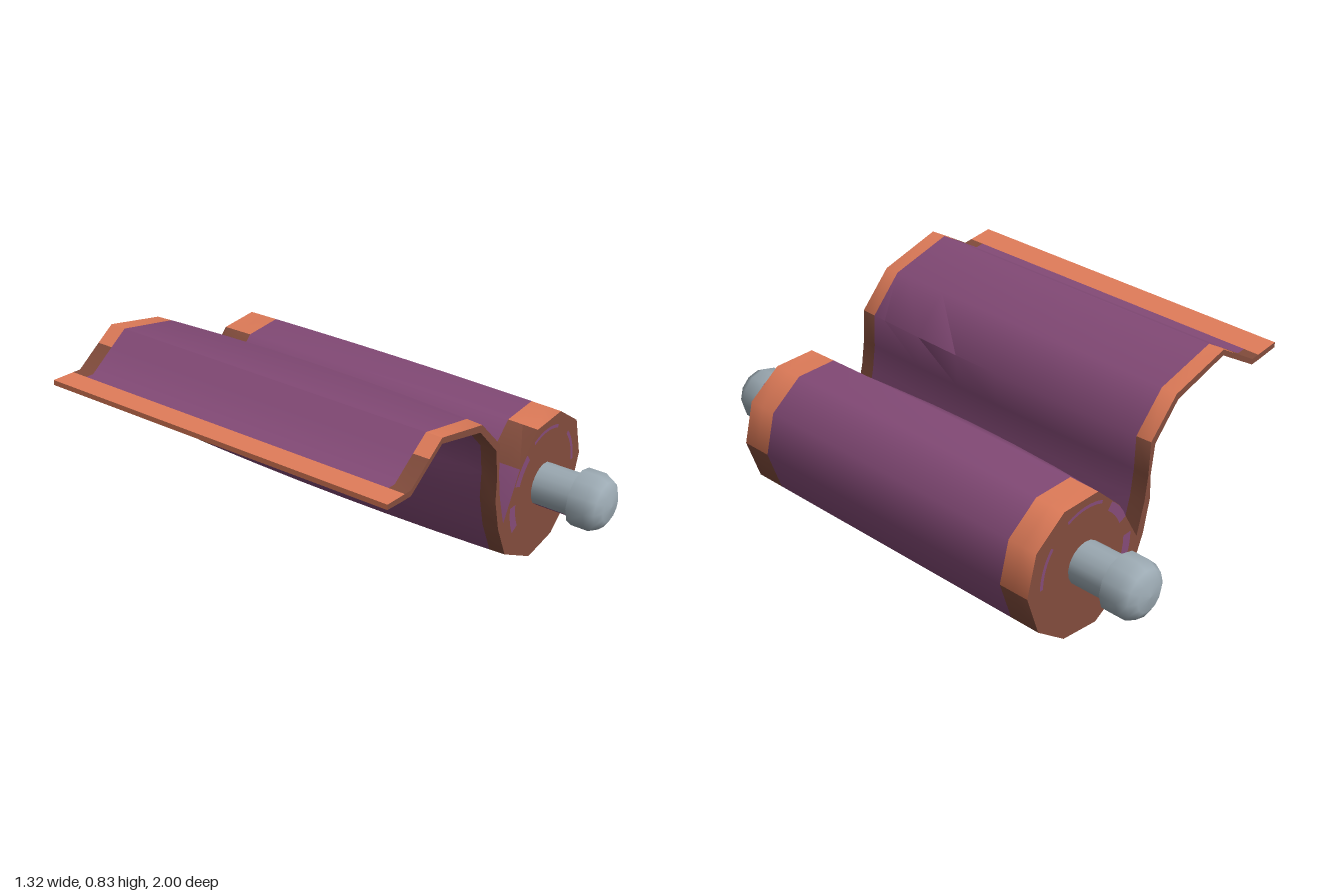
import * as THREE from 'three';
import { toCreasedNormals } from 'three/addons/utils/BufferGeometryUtils.js';

const mat = (name, color) => new THREE.MeshStandardMaterial({ name, color });
const HALF = 0.713; // half length of the roll along z
const AXIS = [0.372, 0.308]; // rod centre in x, y

// Closed cross-section, clockwise: x, y at the ends, then optional x, y at mid length
const PROFILE = [
  [-0.66, 0.74], [-0.56, 0.729], [-0.525, 0.725], [-0.42, 0.79], [-0.345, 0.835],
  [-0.09, 0.765, -0.075, 0.777], [0.038, 0.63, 0.055, 0.63], [0.045, 0.5, 0.052, 0.5],
  [0.06, 0.4, 0.066, 0.4], [0.095, 0.275, 0.09, 0.285],
  [0.195, 0.452, 0.17, 0.47], [0.31, 0.562, 0.31, 0.57], [0.48, 0.562, 0.48, 0.57],
  [0.613, 0.465], [0.655, 0.305], [0.6, 0.14], [0.47, 0.04, 0.47, 0.03],
  [0.305, 0.022, 0.305, 0.003], [0.12, 0.13, 0.115, 0.117],
  [0.06, 0.27, 0.05, 0.265], [0.03, 0.4, 0.017, 0.392], [0.032, 0.5, 0.025, 0.5],
  [0.015, 0.615], [-0.1, 0.74], [-0.345, 0.812], [-0.525, 0.703], [-0.58, 0.709], [-0.66, 0.72],
];
// Trim of each profile segment: p none, o orange, b brown, capitals run the full length
const TRIM = 'O' + 'bb' + 'ooo' + 'bbb' + 'p' + 'b' + 'ooo' + 'bbbb' + 'bbbbbbbb' + 'B' + 'O';
const STATIONS = [-HALF, -0.65, -0.59, -0.4, -0.2, 0, 0.2, 0.4, 0.59, 0.65, HALF];

// Sheet and roll skin lofted along z, bowing slightly toward mid length
function clothGeometry() {
  const positions = [];
  for (const z of STATIONS) {
    const bow = 1 - (z / HALF) ** 2;
    for (const [x, y, mx = x, my = y] of PROFILE) {
      positions.push(x + (mx - x) * bow, y + (my - y) * bow, z);
    }
  }
  const n = PROFILE.length;
  const faces = [[], [], []]; // purple, orange, brown
  for (let i = 0; i < n; i++) {
    const code = TRIM[i];
    const isRoll = i >= 10 && i < 18;
    const border = isRoll ? 0.59 : 0.65;
    for (let k = 0; k < STATIONS.length - 1; k++) {
      const middle = Math.abs(STATIONS[k] + STATIONS[k + 1]) / 2;
      const full = code !== code.toLowerCase();
      const trimmed = full || middle > border;
      const slot = trimmed ? 'pob'.indexOf(code.toLowerCase()) : 0;
      const j = (i + 1) % n;
      const a = k * n + i, b = a + n, c = k * n + j, d = c + n;
      faces[slot].push(a, b, c, b, d, c);
    }
  }
  const geometry = new THREE.BufferGeometry();
  geometry.setAttribute('position', new THREE.Float32BufferAttribute(positions, 3));
  geometry.setIndex(faces.flat());
  let start = 0;
  faces.forEach((list, slot) => {
    geometry.addGroup(start, list.length, slot);
    start += list.length;
  });
  return toCreasedNormals(geometry, 0.75);
}

export function createModel() {
  const purple = mat('purple cloth', 0x854b78);
  const orange = mat('orange trim', 0xe27d5a);
  const brown = mat('brown trim', 0x824c3c);
  const metal = mat('grey metal', 0x9caab3);

  const model = new THREE.Group();
  model.name = 'scroll';
  const add = (parent, name, geometry, material) => {
    const mesh = new THREE.Mesh(geometry, material);
    mesh.name = name;
    parent.add(mesh);
    return mesh;
  };

  add(model, 'rolledSheet', clothGeometry(), [purple, orange, brown]);

  // Lathe about the z axis from [radius, z] pairs
  const turned = (points, start = 0, length = Math.PI * 2, sides = 12) =>
    new THREE.LatheGeometry(points.map(([r, z]) => new THREE.Vector2(r, z)), sides, start, length)
      .rotateX(Math.PI / 2);

  // Both ends: the back one is turned half round, so its x values are mirrored first
  for (const side of [1, -1]) {
    const end = new THREE.Group();
    end.name = side > 0 ? 'frontEnd' : 'backEnd';
    end.rotation.y = side > 0 ? 0 : Math.PI;
    model.add(end);

    const outline = new THREE.Shape(PROFILE.map(([x, y]) => new THREE.Vector2(x * side, y)));
    add(end, 'endCap', new THREE.ShapeGeometry(outline), brown).position.z = HALF;

    // Purple streaks on the cap: inner radius, outer radius, start angle, sweep
    const streaks = [[0.21, 0.225, 0, 0.7], [0.215, 0.228, 1.15, 0.8], [0.19, 0.225, 2.2, 0.55], [0.2, 0.238, 3.1, 0.5]];
    for (const [inner, outer, start, sweep] of streaks) {
      const angle = side > 0 ? start : Math.PI - start - sweep;
      const streak = new THREE.RingGeometry(inner, outer, 8, 1, angle, sweep);
      add(end, 'capStreak', streak, purple).position.set(AXIS[0] * side, AXIS[1], HALF + 0.003);
    }

    // Rod with a rounded knob
    const rod = new THREE.Group();
    rod.name = 'rod';
    rod.position.set(AXIS[0] * side, AXIS[1], 0);
    end.add(rod);
    const shaft = [[0.083, 0.68], [0.083, 0.875]];
    add(rod, 'shaft', turned(shaft, 0.9, Math.PI * 2 - 1.8), metal);
    add(rod, 'shaftUnderside', turned(shaft, -0.9, 1.8, 4), purple);
    add(rod, 'knobBack', turned([[0.075, 0.87], [0.11, 0.87]]), purple);
    add(rod, 'knob', turned([[0.11, 0.87], [0.11, 0.94], [0.092, 0.975], [0.06, 0.994], [0, 1]]), metal);
  }
  return model;
}
